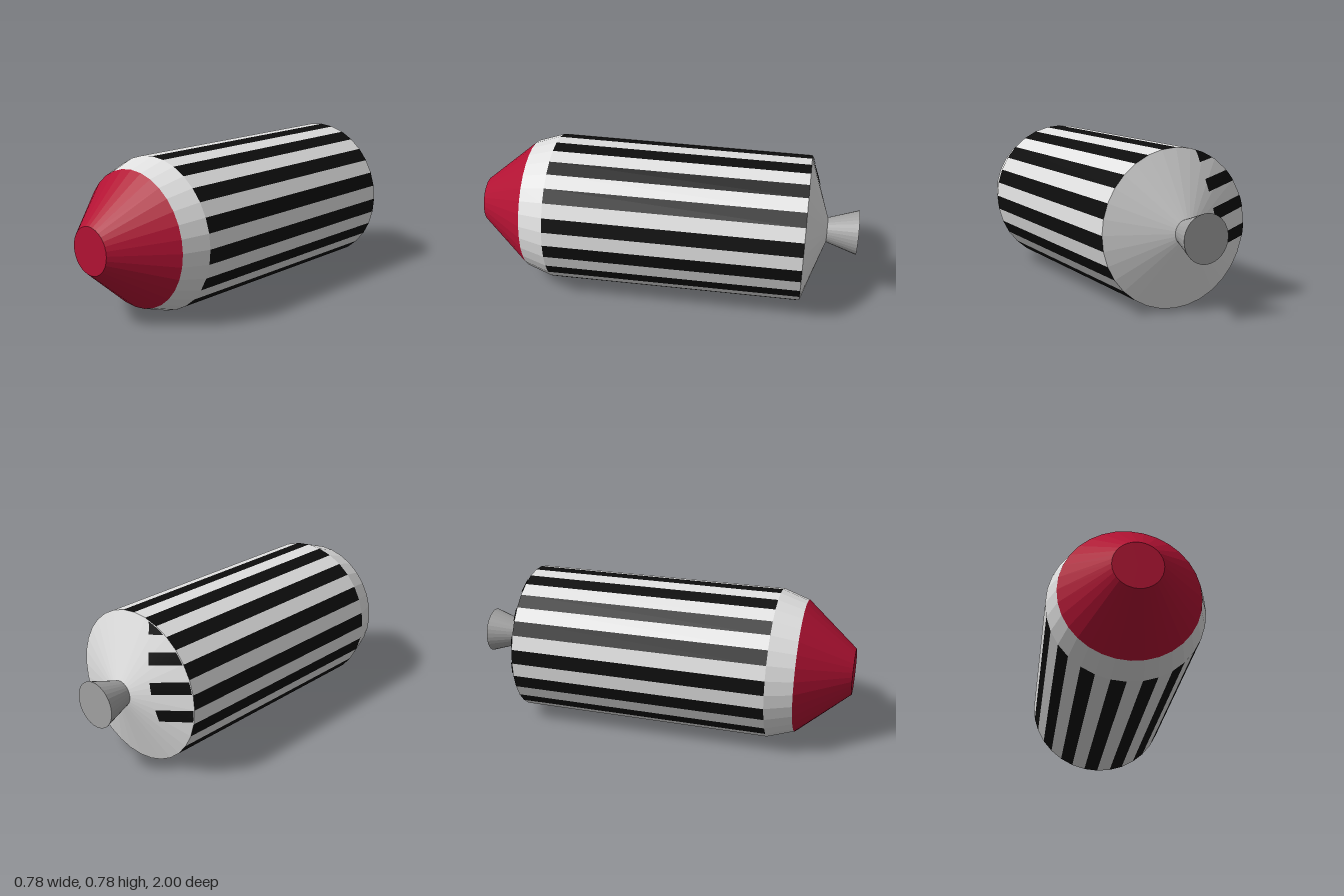
import * as THREE from 'three';

const SIDES = 32;
const AXIS_Y = 0.393;

export function createModel() {
  const make = (name, color) => {
    const m = new THREE.MeshStandardMaterial({ color, flatShading: true });
    m.name = name;
    return m;
  };
  const white = make('white', 0xe0e0e0);
  const black = make('black', 0x0d0d0d);
  const red = make('red', 0xb21233);
  const grey = make('grey', 0xa2a2a2);
  black.side = THREE.DoubleSide;

  const model = new THREE.Group();
  model.name = 'capsule';
  const add = (name, geometry, material) => {
    const mesh = new THREE.Mesh(geometry, material);
    mesh.name = name;
    mesh.position.y = AXIS_Y;
    model.add(mesh);
  };

  // Tapered ring along z, from its front end to its back end
  const section = (zFront, rFront, zBack, rBack, open = true) =>
    new THREE.CylinderGeometry(rFront, rBack, zFront - zBack, SIDES, 1, open)
      .rotateX(Math.PI / 2)
      .translate(0, 0, (zFront + zBack) / 2);

  // Nose, collar, rear cone and nozzle
  add('nose', section(1, 0.119, 0.735, 0.345, false), red);
  add('collar', section(0.735, 0.345, 0.6, 0.39), white);
  add('rearCone', section(-0.73, 0.385, -0.84, 0.065), white);
  add('nozzle', section(-0.84, 0.065, -1, 0.117, false), grey);

  // Body: every second facet is black
  const body = section(0.6, 0.39, -0.73, 0.385);
  body.clearGroups();
  for (let i = 0; i < SIDES; i++) body.addGroup(i * 6, 6, i % 2);
  add('stripedBody', body, [white, black]);

  // Short slanted bars lying on one side of the rear cone
  const tilt = 0.21, c = Math.cos(tilt), s = Math.sin(tilt);
  const bar = (centre) => {
    const g = new THREE.PlaneGeometry(1, 1, 10, 3);
    const p = g.attributes.position;
    for (let i = 0; i < p.count; i++) {
      const v = centre + p.getY(i) * 0.06;
      const rim = Math.sqrt(0.383 ** 2 - v * v);
      const u = THREE.MathUtils.lerp(Math.min(0.18, rim), rim, p.getX(i) + 0.5);
      const r = Math.hypot(u, v);
      p.setXYZ(i, -u * c + v * s, u * s + v * c, -0.734 - 0.11 * (0.385 - r) / 0.32);
    }
    g.computeVertexNormals();
    return g;
  };
  [0.31, 0.17, 0.03, -0.11].forEach((v, i) => add(`rearBar${i + 1}`, bar(v), black));

  return model;
}
